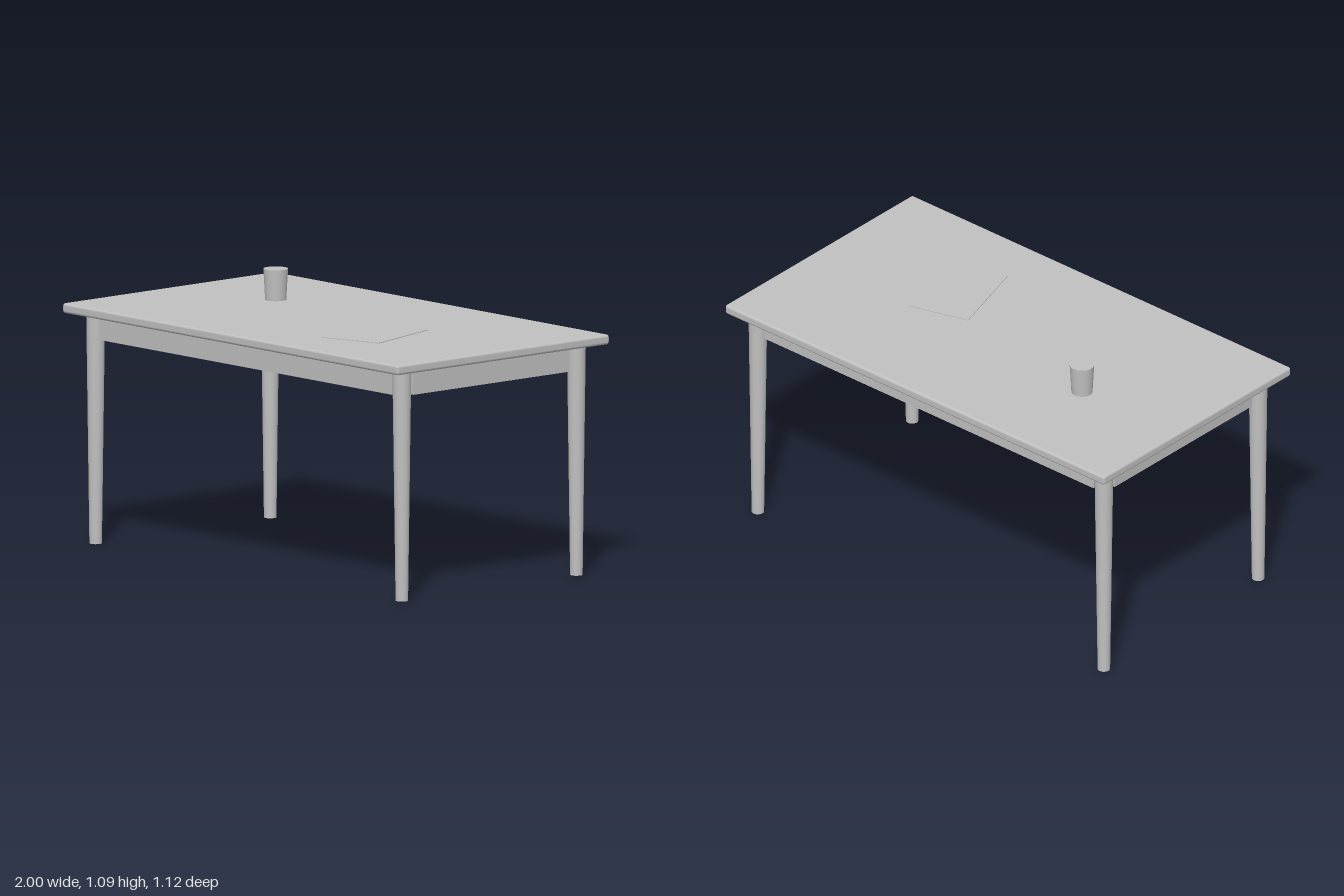
import * as THREE from 'three';
import { RoundedBoxGeometry } from 'three/addons/geometries/RoundedBoxGeometry.js';

const grey = new THREE.MeshStandardMaterial({ color: 0xc0c0c0 });
grey.name = 'plain grey';

const TOP_Y = 0.965;   // upper face of the tabletop
const UNDER_Y = 0.925; // underside of the tabletop
const LEG_X = 0.9125;
const LEG_Z = 0.4625;

export function createModel() {
  const table = new THREE.Group();
  table.name = 'table';

  function add(name, geometry, x, y, z) {
    const mesh = new THREE.Mesh(geometry, grey);
    mesh.name = name;
    mesh.position.set(x, y, z);
    table.add(mesh);
    return mesh;
  }

  // Tabletop with softly rounded edges
  const thickness = TOP_Y - UNDER_Y;
  add('tabletop', new RoundedBoxGeometry(2, thickness, 1.125, 3, 0.011), 0, UNDER_Y + thickness / 2, 0);

  // Four round tapered legs
  const leg = new THREE.CylinderGeometry(0.0375, 0.025, UNDER_Y, 32);
  for (const [side, sx] of [['Left', 1], ['Right', -1]]) {
    for (const [end, sz] of [['front', 1], ['back', -1]]) {
      add(`${end}${side}Leg`, leg, sx * LEG_X, UNDER_Y / 2, sz * LEG_Z);
    }
  }

  // Apron rails between the legs
  const railH = 0.1025, railT = 0.025, railY = UNDER_Y - railH / 2;
  const longRail = new THREE.BoxGeometry(1.735, railH, railT);
  const shortRail = new THREE.BoxGeometry(railT, railH, 0.825);
  add('frontApron', longRail, 0, railY, LEG_Z);
  add('backApron', longRail, 0, railY, -LEG_Z);
  add('leftApron', shortRail, LEG_X, railY, 0);
  add('rightApron', shortRail, -LEG_X, railY, 0);

  // Closed tapered cup
  const cupH = 0.125;
  add('cup', new THREE.CylinderGeometry(0.049, 0.042, cupH, 32), -0.5, TOP_Y + cupH / 2, -0.125);

  // Thin sheet of paper lying at an angle
  const sheetT = 0.003;
  const sheet = add('paperSheet', new THREE.BoxGeometry(0.2625, sheetT, 0.371), 0.375, TOP_Y + sheetT / 2, 0.125);
  sheet.rotation.y = 0.29;

  return table;
}
